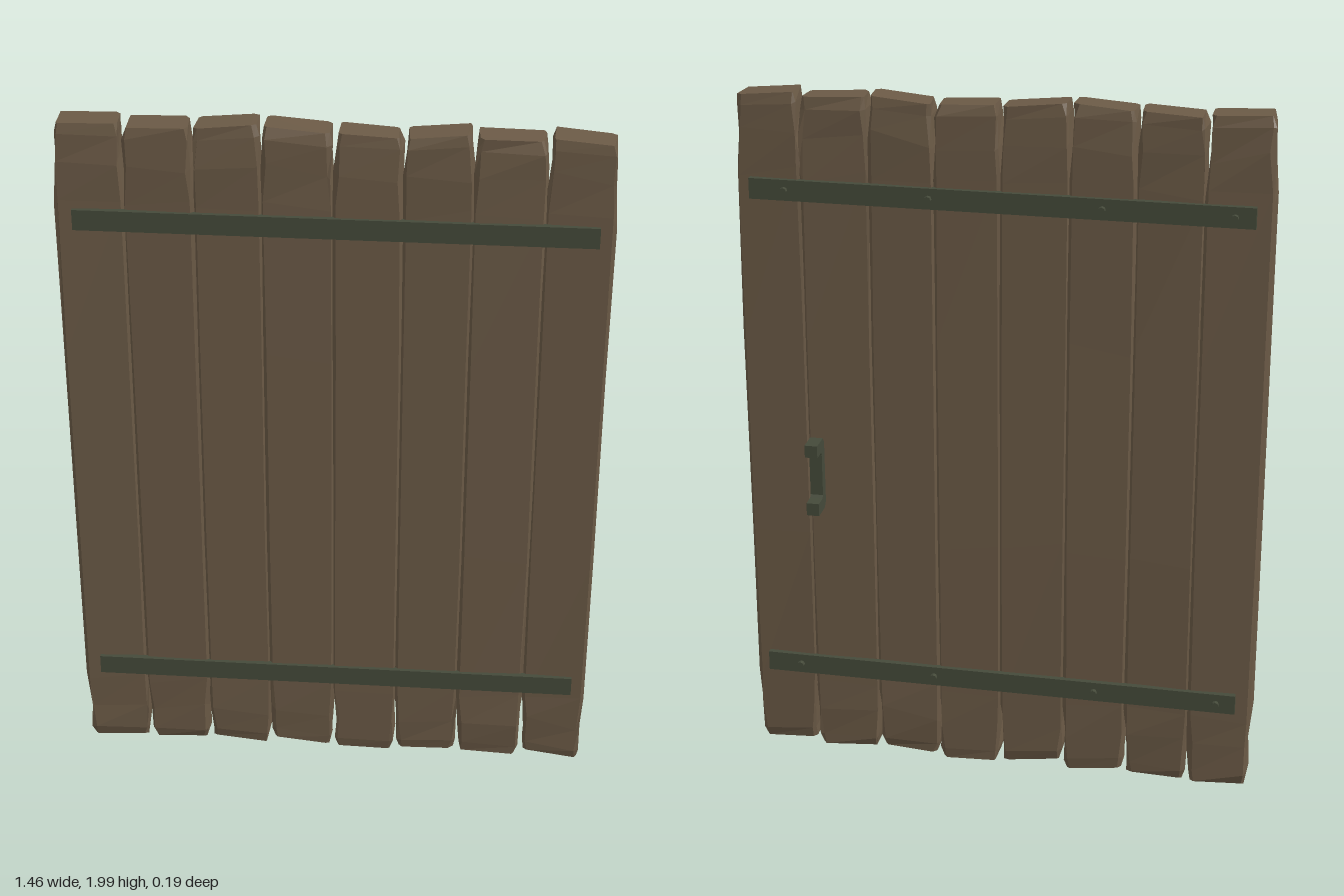
import * as THREE from 'three';

const wood = new THREE.MeshStandardMaterial({ color: 0x6b5a46, flatShading: true });
wood.name = 'weathered wood';
const iron = new THREE.MeshStandardMaterial({ color: 0x454a3a, flatShading: true });
iron.name = 'dark iron';

// Repeatable jitter in the range -1..1
let seed = 11;
const jitter = () => {
  seed = (seed * 16807) % 2147483647;
  return (seed / 2147483647) * 2 - 1;
};

// Rough-hewn plank: chamfered sections stacked in y, worn narrower at both ends.
// bottom and top hold the end heights at the left and right edges.
function plankGeometry(x0, x1, bottom, top) {
  const cx = (x0 + x1) / 2, hw = (x1 - x0) / 2 + 0.002;
  const cz = 0.034, hd = 0.048;
  // fraction of the height, width scale, depth scale, jitter, height jitter
  const levels = [
    [0, 0.85, 0.78, 0.005, 0], [0.016, 0.91, 0.92, 0.005, 0.004], [0.06, 0.94, 0.96, 0.006, 0.02],
    [0.11, 0.99, 0.98, 0.003, 0.02], [0.35, 1, 0.99, 0.0012, 0.02], [0.66, 1, 0.99, 0.0012, 0.02],
    [0.89, 0.99, 0.98, 0.003, 0.02], [0.945, 0.94, 0.96, 0.006, 0.02],
    [0.984, 0.91, 0.92, 0.005, 0.004], [1, 0.86, 0.78, 0.005, 0],
  ];
  const chamfer = 0.008, slant = jitter() * 0.005;
  const rings = levels.map(([f, sx, sz, j, jy]) => {
    const w = hw * sx, d = hd * sz;
    const corners = [
      [w - chamfer, d], [w, d - chamfer], [w, chamfer - d], [w - chamfer, -d],
      [chamfer - w, -d], [-w, chamfer - d], [-w, d - chamfer], [chamfer - w, d],
    ];
    return corners.map(([x, z]) => {
      const u = (x / hw + 1) / 2;
      const y0 = THREE.MathUtils.lerp(bottom[0], bottom[1], u);
      const y1 = THREE.MathUtils.lerp(top[0], top[1], u);
      return new THREE.Vector3(
        cx + x + jitter() * j,
        y0 + (y1 - y0) * f + jitter() * jy,
        THREE.MathUtils.clamp(cz + z + x / hw * slant + jitter() * j, -0.015, 0.083));
    });
  });
  const points = [];
  const n = 8;
  for (let r = 0; r < rings.length - 1; r++) {
    for (let i = 0; i < n; i++) {
      const k = (i + 1) % n;
      const a = rings[r][i], b = rings[r][k], c = rings[r + 1][k], d = rings[r + 1][i];
      points.push(a, b, c, a, c, d);
    }
  }
  // End caps
  const last = rings[rings.length - 1], first = rings[0];
  for (let i = 1; i < n - 1; i++) {
    points.push(last[0], last[i], last[i + 1]);
    points.push(first[0], first[i + 1], first[i]);
  }
  const g = new THREE.BufferGeometry().setFromPoints(points);
  g.computeVertexNormals();
  return g;
}

function box(parent, name, x0, x1, y0, y1, z0, z1) {
  const m = new THREE.Mesh(new THREE.BoxGeometry(x1 - x0, y1 - y0, z1 - z0), iron);
  m.position.set((x0 + x1) / 2, (y0 + y1) / 2, (z0 + z1) / 2);
  m.name = name;
  parent.add(m);
}

export function createModel() {
  seed = 11;
  const door = new THREE.Group();
  door.name = 'plankDoor';

  // Eight upright planks
  const seams = [-0.726, -0.548, -0.366, -0.188, -0.002, 0.178, 0.358, 0.545, 0.722];
  const tops = [[1.992, 1.988], [1.98, 1.988], [1.985, 2], [1.998, 1.98],
    [1.985, 1.975], [1.975, 1.993], [1.985, 1.978], [1.992, 1.975]];
  const bottoms = [[0.012, 0.012], [0.015, 0.02], [0.028, 0.008], [0.038, 0.012],
    [0.012, 0.004], [0.015, 0.025], [0.018, 0.01], [0.032, 0.012]];
  const planks = new THREE.Group();
  planks.name = 'planks';
  tops.forEach((top, i) => {
    const m = new THREE.Mesh(plankGeometry(seams[i], seams[i + 1], bottoms[i], top), wood);
    m.name = 'plank' + (i + 1);
    planks.add(m);
  });
  door.add(planks);

  // Iron straps on both faces, with studs on the back
  for (const [label, y] of [['lower', 0.283], ['upper', 1.724]]) {
    box(door, label + 'FrontStrap', -0.683, 0.685, y - 0.029, y + 0.029, 0.074, 0.091);
    box(door, label + 'BackStrap', -0.683, 0.685, y - 0.029, y + 0.029, -0.027, -0.01);
    for (const x of [-0.628, -0.278, 0.19, 0.587]) {
      const stud = new THREE.Mesh(new THREE.CylinderGeometry(0.01, 0.01, 0.02, 8), iron);
      stud.rotation.x = Math.PI / 2;
      stud.position.set(x, y, -0.03);
      stud.name = label + 'Stud';
      door.add(stud);
    }
  }

  // Bracket handle on the back: profile in (z, y) pushed out along x
  const profile = [
    [-0.094, 0.797], [-0.034, 0.797], [-0.021, 0.812], [-0.021, 0.995], [-0.034, 1.01],
    [-0.094, 1.01], [-0.094, 0.974], [-0.055, 0.974], [-0.049, 0.966], [-0.049, 0.842],
    [-0.055, 0.834], [-0.094, 0.834],
  ].map(([z, y]) => new THREE.Vector2(-z, y));
  const handleGeometry = new THREE.ExtrudeGeometry(new THREE.Shape(profile), { depth: 0.036, bevelEnabled: false });
  handleGeometry.rotateY(Math.PI / 2);
  const handle = new THREE.Mesh(handleGeometry, iron);
  handle.position.x = 0.499;
  handle.name = 'handle';
  door.add(handle);

  return door;
}
